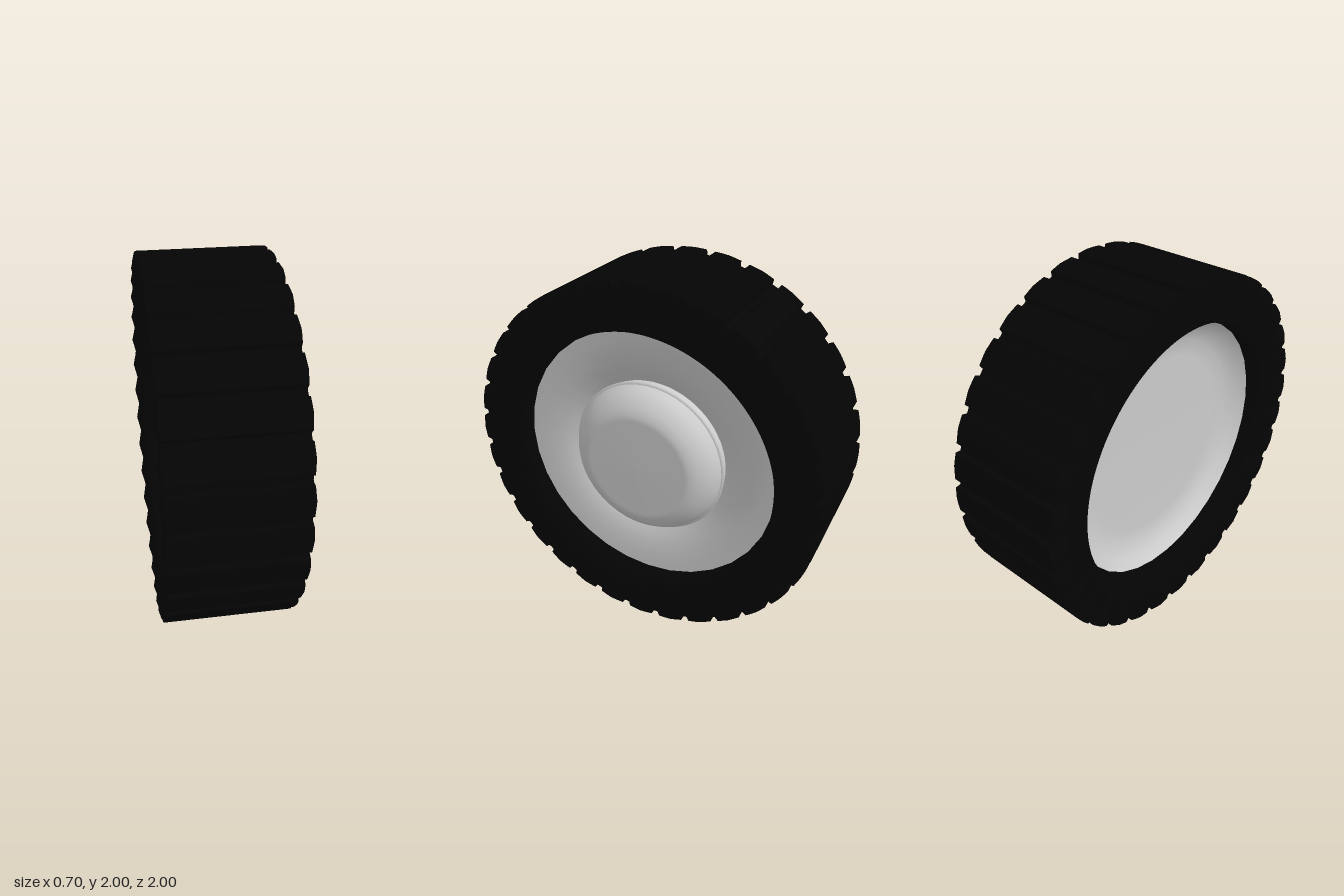
import * as THREE from 'three';

const LUGS = 32;           // tread lugs, also the facets of the rim
const STEPS = 32;          // tyre divisions per lug

export function createModel() {
  const rubber = new THREE.MeshStandardMaterial({ color: 0x040404 });
  const metal = new THREE.MeshStandardMaterial({ color: 0xcccccc });
  const wheel = new THREE.Group();
  wheel.name = 'wheel';

  // Turned part: profile of [radius, x] points spun about the x axis
  function turned(name, profile, material, segments) {
    const points = profile.map(([r, x]) => new THREE.Vector2(r, x));
    const geometry = new THREE.LatheGeometry(points, segments).rotateZ(-Math.PI / 2);
    const mesh = new THREE.Mesh(geometry, material);
    mesh.name = name;
    wheel.add(mesh);
    return geometry;
  }

  // Tyre part: profile of [radius, x, lug height, lug bulge], swelling at each lug
  function tyrePart(name, profile) {
    const geometry = turned(name, profile, rubber, LUGS * STEPS);
    const pos = geometry.attributes.position;
    for (let k = 0; k < pos.count; k++) {
      const [r, x, height, bulge] = profile[k % profile.length];
      const step = Math.floor(k / profile.length) % STEPS;
      const away = Math.min(step, STEPS - step) / (STEPS / 2); // 0 lug centre, 1 groove
      const scale = away <= 0.75 ? (r + height) / r : 1;
      pos.setXYZ(k, x + Math.sign(x) * bulge * (1 - away), pos.getY(k) * scale, pos.getZ(k) * scale);
    }
    geometry.computeVertexNormals();
  }

  // Tyre: steep inner lip, flat wall, fluted shoulder and lugged band
  const wall = [
    [0.715, 0.2, 0, 0], [0.73, 0.228, 0, 0], [0.737, 0.29, 0, 0], [0.752, 0.325, 0, 0],
    [0.86, 0.328, 0, 0.005], [0.95, 0.33, 0, 0.02], [0.973, 0.327, 0.027, 0.009],
  ];
  tyrePart('tyreSidewallRight', wall.map(([r, x, height, bulge]) => [r, -x, height, bulge]));
  tyrePart('tyreSidewallLeft', [...wall].reverse());
  tyrePart('tyreTread', [[0.973, -0.327, 0.027, 0.009], [0.973, 0.327, 0.027, 0.009]]);

  // Rim: a shallow dish on each side
  turned('rimBack', [[0, -0.14], [0.52, -0.14], [0.61, -0.152], [0.68, -0.182], [0.73, -0.23]], metal, LUGS);
  turned('rimFront', [[0.73, 0.23], [0.66, 0.225], [0.58, 0.213], [0.5, 0.19], [0.42, 0.145]], metal, LUGS);

  // Hub neck and domed cap with a slight overhang
  turned('hubNeck', [[0.425, 0.13], [0.425, 0.202]], metal, 48);
  turned('hubCapUnderside', [[0.42, 0.2], [0.44, 0.2]], metal, 48);
  turned('hubCapLedge', [[0.44, 0.2], [0.44, 0.21], [0.428, 0.212]], metal, 48);
  turned('hubCapDome', [
    [0.428, 0.212], [0.415, 0.25], [0.39, 0.285], [0.35, 0.318],
    [0.31, 0.337], [0.28, 0.34], [0, 0.343],
  ], metal, 48);

  wheel.position.y = 1;
  const model = new THREE.Group();
  model.name = 'model';
  model.add(wheel);
  return model;
}
